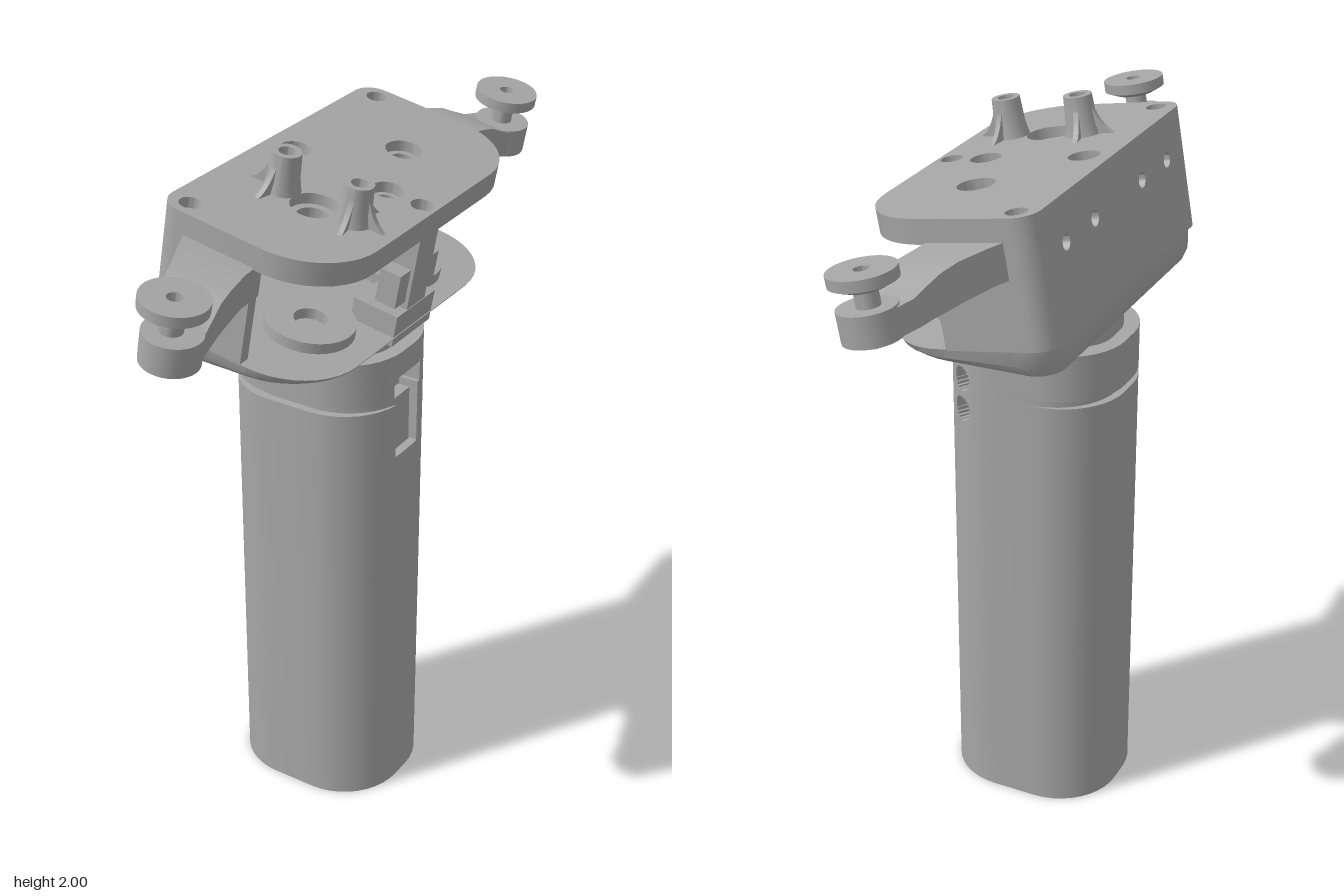
import * as THREE from 'three';
import { toCreasedNormals, mergeGeometries } from 'three/addons/utils/BufferGeometryUtils.js';

const grey = new THREE.MeshStandardMaterial({ color: 0xa6a6a6 });
grey.name = 'plain grey';
const V2 = (x, y) => new THREE.Vector2(x, y);

function mesh(name, geo, parent, x = 0, y = 0, z = 0) {
  const m = new THREE.Mesh(toCreasedNormals(geo, 0.55), grey);
  m.name = name;
  m.position.set(x, y, z);
  parent.add(m);
  return m;
}

function box(name, parent, x0, x1, y0, y1, z0, z1) {
  return mesh(name, new THREE.BoxGeometry(x1 - x0, y1 - y0, z1 - z0), parent,
    (x0 + x1) / 2, (y0 + y1) / 2, (z0 + z1) / 2);
}

// Rounded outline, counter-clockwise in (x, -z); r0 rounds the x0 end, r1 the x1 end.
// cut = {angle, half, depth} sinks a notch into the first corner.
function outline(x0, x1, y0, y1, r0, r1, cut) {
  const pts = [];
  const arc = (cx, cy, r, a, b, n = 10) => {
    for (let i = 0; i <= n; i++) {
      const t = a + (b - a) * i / n;
      pts.push(V2(cx + r * Math.cos(t), cy + r * Math.sin(t)));
    }
  };
  const h = Math.PI / 2;
  if (cut) {
    const d = Math.asin(cut.half / r1), k = cut.depth;
    const inward = (t) => pts.push(V2(x1 - r1 + r1 * Math.cos(t) - k * Math.cos(cut.angle),
      y1 - r1 + r1 * Math.sin(t) - k * Math.sin(cut.angle)));
    arc(x1 - r1, y1 - r1, r1, 0, cut.angle - d, 8);
    inward(cut.angle - d);
    inward(cut.angle + d);
    arc(x1 - r1, y1 - r1, r1, cut.angle + d, h, 5);
  } else arc(x1 - r1, y1 - r1, r1, 0, h);
  arc(x0 + r0, y1 - r0, r0, h, 2 * h);
  arc(x0 + r0, y0 + r0, r0, 2 * h, 3 * h);
  arc(x1 - r1, y0 + r1, r1, 3 * h, 4 * h);
  return pts;
}

// Upright slab from a plan outline; holes are [x, z, radius]
function slab(pts, y0, y1, holes = []) {
  const s = new THREE.Shape(pts);
  for (const [x, z, r] of holes) s.holes.push(new THREE.Path().absarc(x, -z, r, 0, Math.PI * 2, true));
  return new THREE.ExtrudeGeometry(s, { depth: y1 - y0, bevelEnabled: false, curveSegments: 20 })
    .rotateX(-Math.PI / 2).translate(0, y0, 0);
}

// Closed solid through rings, counter-clockwise seen from the last ring's side
function loft(rings) {
  const p = [], n = rings[0].length;
  const tri = (...v) => v.forEach((q) => p.push(q.x, q.y, q.z));
  const mid = (r) => r.reduce((s, q) => s.add(q), new THREE.Vector3()).divideScalar(n);
  const first = rings[0], last = rings[rings.length - 1], a = mid(first), b = mid(last);
  for (let j = 0; j < n; j++) {
    const k = (j + 1) % n;
    for (let i = 0; i + 1 < rings.length; i++) {
      tri(rings[i][j], rings[i][k], rings[i + 1][k]);
      tri(rings[i][j], rings[i + 1][k], rings[i + 1][j]);
    }
    tri(a, first[k], first[j]);
    tri(b, last[j], last[k]);
  }
  return new THREE.BufferGeometry().setAttribute('position', new THREE.Float32BufferAttribute(p, 3));
}

// Turned part with a bore: pairs of [radius, height] around the closed section
function turned(pairs) {
  return new THREE.LatheGeometry([...pairs, pairs[0]].map(([r, y]) => V2(r, y)), 32);
}

// Handle cut in layers: front slot, side groove and two round corner holes
function buildHandle(root) {
  const holeYs = [1.21, 1.30], R = 0.035;
  const ys = [0, 1.12, 1.28, 1.30, 1.36, 1.43];
  for (const c of holeYs) for (let k = 0; k <= 10; k++) if (k !== 5 || c !== 1.30) ys.push(c + R * Math.cos(k * Math.PI / 10));
  ys.sort((a, b) => a - b);
  const parts = [];
  for (let i = 0; i + 1 < ys.length; i++) {
    const y0 = ys[i], y1 = ys[i + 1], m = (y0 + y1) / 2;
    if (y1 - y0 < 1e-4) continue;
    const c = holeYs.find((h) => Math.abs(m - h) < R);
    const cut = c && { angle: 1.0, half: Math.sqrt(R * R - (m - c) ** 2), depth: 0.06 };
    const g = m > 1.28 && m < 1.30 ? 0.022 : 0;
    const pts = outline(-0.28 + g, 0.21, -0.21 + g, 0.21, 0.18, 0.18, cut);
    if (m > 1.12 && m < 1.36) {
      const w = m > 1.30 ? 0.065 : 0.055;
      // the corner radius leaves only a short flat, so the slot walls replace it
      while (pts[pts.length - 1].y > -w) pts.pop();
      while (pts[0].y < w) pts.shift();
      pts.push(V2(0.207, -w), V2(0.15, -w), V2(0.15, w), V2(0.207, w));
    }
    parts.push(slab(pts, y0, y1, m < 1.36 ? [[-0.035, 0, 0.1]] : []));
  }
  mesh('handle', mergeGeometries(parts), root);
  box('slotTongue', root, 0.14, 0.185, 1.12, 1.28, -0.05, 0.05);
  mesh('neck', slab(outline(-0.24, 0.17, -0.13, 0.13, 0.1, 0.1), 1.425, 1.5), root);
}

// One side of the head: wall, floor boss and arm with its round knob
function buildSide(head, s) {
  const side = new THREE.Group();
  side.name = s > 0 ? 'frontSide' : 'backSide';
  side.scale.z = s;
  head.add(side);

  const wall = [];
  for (let i = 0; i <= 8; i++) {
    const t = Math.PI - i * Math.PI / 16;
    wall.push(V2(-0.233 + 0.06 * Math.cos(t), -0.42 - 0.06 * Math.sin(t)));
  }
  wall.push(V2(0, -0.48), V2(0, -0.447), V2(-0.17, -0.447), V2(-0.26, -0.34), V2(-0.293, -0.34));
  mesh('sideWall', slab(wall, 0.055, 0.336), side);

  mesh('floorBoss', turned([[0.045, 0.05], [0.12, 0.05], [0.12, 0.088], [0.045, 0.088]]), side, 0.03, 0, 0.215);

  // stations: z, inner x, outer x, bottom, top
  const stations = [
    [0.44, -0.23, 0.0, 0.24, 0.335], [0.52, -0.19, 0.005, 0.24, 0.335], [0.6, -0.155, 0.02, 0.235, 0.333],
    [0.65, -0.135, 0.03, 0.23, 0.325], [0.69, -0.115, 0.04, 0.225, 0.308], [0.73, -0.1, 0.05, 0.22, 0.292],
    [0.79, -0.076, 0.055, 0.218, 0.288]];
  mesh('arm', loft(stations.map(([z, a, b, c, d]) =>
    [[a, c], [b, c], [b, d], [a, d]].map(([x, y]) => new THREE.Vector3(x, y, z)))), side);
  mesh('armEnd', new THREE.CylinderGeometry(0.075, 0.075, 0.08, 32), side, -0.005, 0.255, 0.785);
  mesh('screwTip', turned([[0.015, 0.2], [0.035, 0.2], [0.035, 0.22], [0.015, 0.22]]), side, -0.005, 0, 0.785);
  mesh('knobPin', new THREE.CylinderGeometry(0.03, 0.03, 0.07, 24), side, -0.01, 0.325, 0.785);
  mesh('knob', turned([[0.02, 0.342], [0.055, 0.342], [0.086, 0.356], [0.086, 0.385], [0.02, 0.385]]),
    side, -0.01, 0, 0.785);
}

// Hollow standoff with three flared ribs
function buildStandoff(head, x, angles) {
  const post = new THREE.Group();
  post.name = 'standoff';
  post.position.set(x, 0.39, 0.2);
  head.add(post);
  mesh('standoffTube', turned([[0.022, 0], [0.05, 0], [0.042, 0.04], [0.038, 0.11], [0.022, 0.11]]), post);
  const rib = new THREE.Shape();
  rib.moveTo(0.025, 0);
  rib.lineTo(0.1, 0);
  rib.quadraticCurveTo(0.055, 0.02, 0.036, 0.085);
  rib.lineTo(0.025, 0.085);
  for (const a of angles) {
    const g = new THREE.ExtrudeGeometry(rib, { depth: 0.014, bevelEnabled: false }).translate(0, 0, -0.007);
    mesh('standoffRib', g, post).rotation.y = a;
  }
}

function buildHead(root) {
  const head = new THREE.Group();
  head.name = 'head';
  head.position.y = 1.48;
  head.rotation.z = -Math.PI / 18;
  root.add(head);

  // counterbored top plate
  const plan = outline(-0.293, 0.215, -0.48, 0.48, 0.06, 0.2);
  const holes = [[-0.014, -0.22, 0.05], [-0.212, 0, 0.042], [0.072, 0, 0.042], [-0.014, 0.21, 0.062],
    [0.174, 0, 0.03], [-0.232, -0.43, 0.028], [-0.232, 0.43, 0.028]];
  mesh('topPlate', slab(plan, 0.365, 0.395, holes), head);
  mesh('topPlateUnderside', slab(plan, 0.33, 0.365, holes.map(([x, z, r]) => [x, z, r * 0.68])), head);

  // floor with a rounded rim and a level underside: inset, height, slope
  const levels = [[0.08, 0, 0.176], [0.05, 0.004, 0.17], [0.025, 0.014, 0.15], [0.008, 0.03, 0.1], [0, 0.058, 0]];
  mesh('floor', loft(levels.map(([i, y, k]) =>
    outline(-0.293 + i, 0.215 - i * 0.4, -0.48 + i, 0.48 - i, Math.max(0.06, 0.1 - i), 0.2 - i * 0.5)
      .map((p) => new THREE.Vector3(p.x, y + k * p.x, -p.y)))), head);

  // back wall with four screw holes
  const wall = new THREE.Shape([V2(-0.342, 0.055), V2(0.342, 0.055), V2(0.342, 0.336), V2(-0.342, 0.336)]);
  for (const z of [-0.32, -0.15, 0.15, 0.32])
    wall.holes.push(new THREE.Path().absarc(-z, 0.28, 0.021, 0, Math.PI * 2, true));
  mesh('backWall', new THREE.ExtrudeGeometry(wall, { depth: 0.033, bevelEnabled: false }).rotateY(Math.PI / 2),
    head, -0.293);

  // central support
  box('supportColumn', head, 0.13, 0.21, 0.04, 0.335, -0.045, 0.045);
  box('supportFoot', head, 0.08, 0.212, 0.03, 0.12, -0.095, 0.095);
  for (const s of [1, -1]) {
    box('supportLug', head, 0.14, 0.2, 0.14, 0.235, s > 0 ? 0.04 : -0.095, s > 0 ? 0.095 : -0.04);
    buildSide(head, s);
  }
  buildStandoff(head, -0.118, [Math.PI, 1.75, -1.75]);
  buildStandoff(head, 0.095, [0, 1.4, -1.4]);
}

export function createModel() {
  const root = new THREE.Group();
  root.name = 'handheldMount';
  buildHandle(root);
  buildHead(root);
  return root;
}
